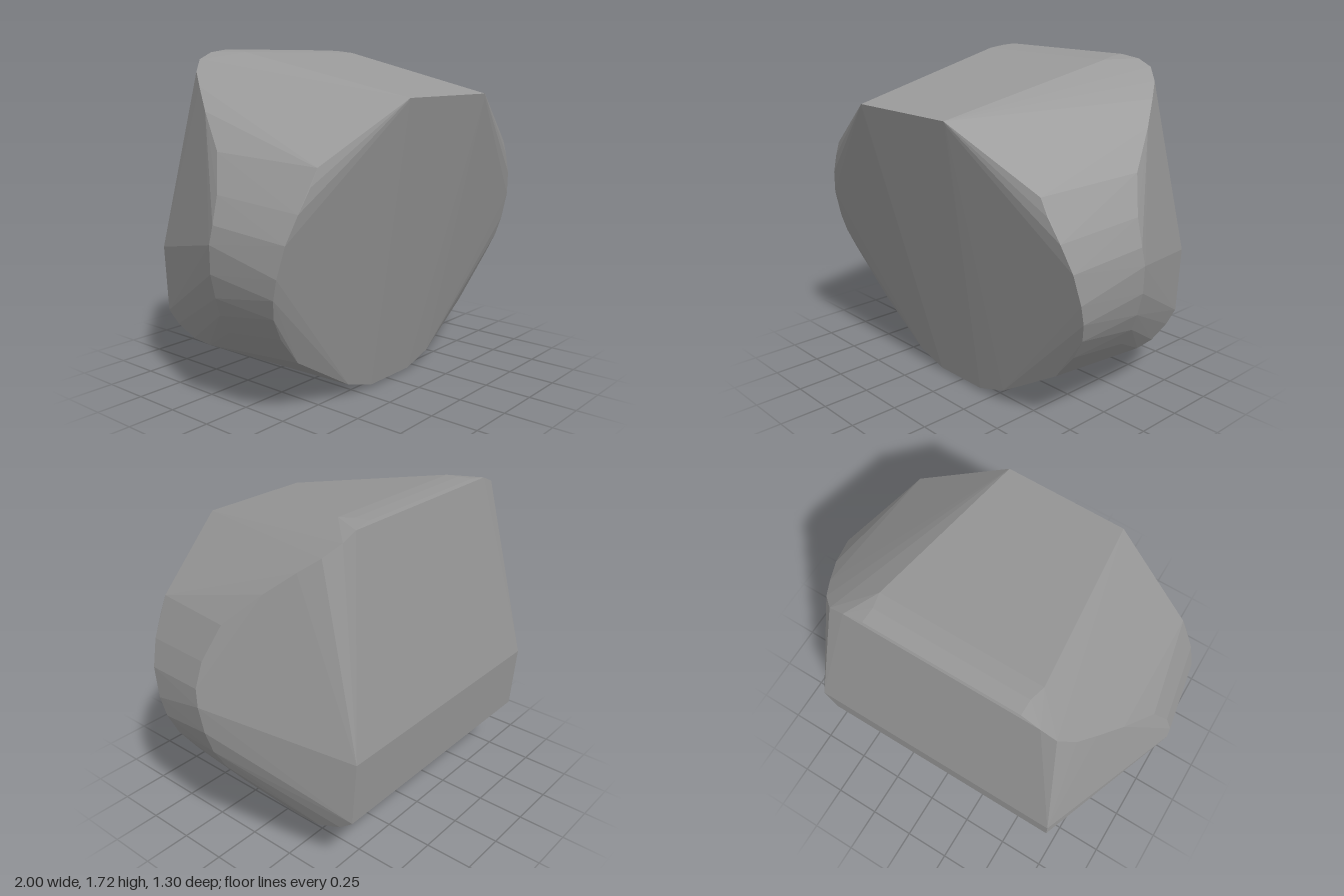
import * as THREE from 'three';
import { ConvexGeometry } from 'three/addons/geometries/ConvexGeometry.js';

// Cross-sections of one half (x >= 0), mirrored to the other side
const frontFace = [
  [0.32, 1.5, 0.65], [0.33, 1.48, 0.645], [0.16, 0.015, 0.31], [0.34, 0.07, 0.31],
];
const frontRim = [
  [0.78, 1.22, 0.505], [0.82, 1.14, 0.502], [0.88, 1.03, 0.485], [0.93, 0.9, 0.455],
  [0.945, 0.75, 0.415], [0.935, 0.65, 0.385], [0.9, 0.55, 0.35], [0.82, 0.43, 0.315],
  [0.69, 0.28, 0.295],
];
const sideCrease = [
  [0.4, 1.72, -0.46], [0.5, 1.705, -0.468], [0.58, 1.67, -0.465], [0.65, 1.61, -0.41],
  [0.71, 1.54, -0.32], [0.79, 1.43, -0.19], [0.88, 1.26, -0.01], [0.95, 1.08, 0.06],
  [0.99, 0.95, 0.07], [1, 0.86, 0.055], [0.985, 0.72, 0.04], [0.95, 0.6, 0.03],
  [0.9, 0.5, 0], [0.82, 0.39, -0.03], [0.76, 0.31, -0.15], [0.71, 0.24, -0.3],
  [0.71, 0.25, -0.42], [0.705, 0.3, -0.55],
];
const back = [[0.705, 0.7, -0.65], [0.705, 0.36, -0.625]];
const top = [[0.42, 1.705, -0.3], [0.4, 1.715, -0.38]];
const underside = [[0.16, 0, 0.19], [0.14, 0.13, -0.39]];

export function createModel() {
  const group = new THREE.Group();
  group.name = 'facetedBlock';
  const grey = new THREE.MeshStandardMaterial({ color: 0x999999 });
  grey.name = 'grey';

  // Closed convex body wrapped around the mirrored sections
  const points = [];
  for (const [x, y, z] of [frontFace, frontRim, sideCrease, back, top, underside].flat()) {
    points.push(new THREE.Vector3(x, y, z), new THREE.Vector3(-x, y, z));
  }
  const body = new THREE.Mesh(new ConvexGeometry(points), grey);
  body.name = 'body';
  group.add(body);
  return group;
}
